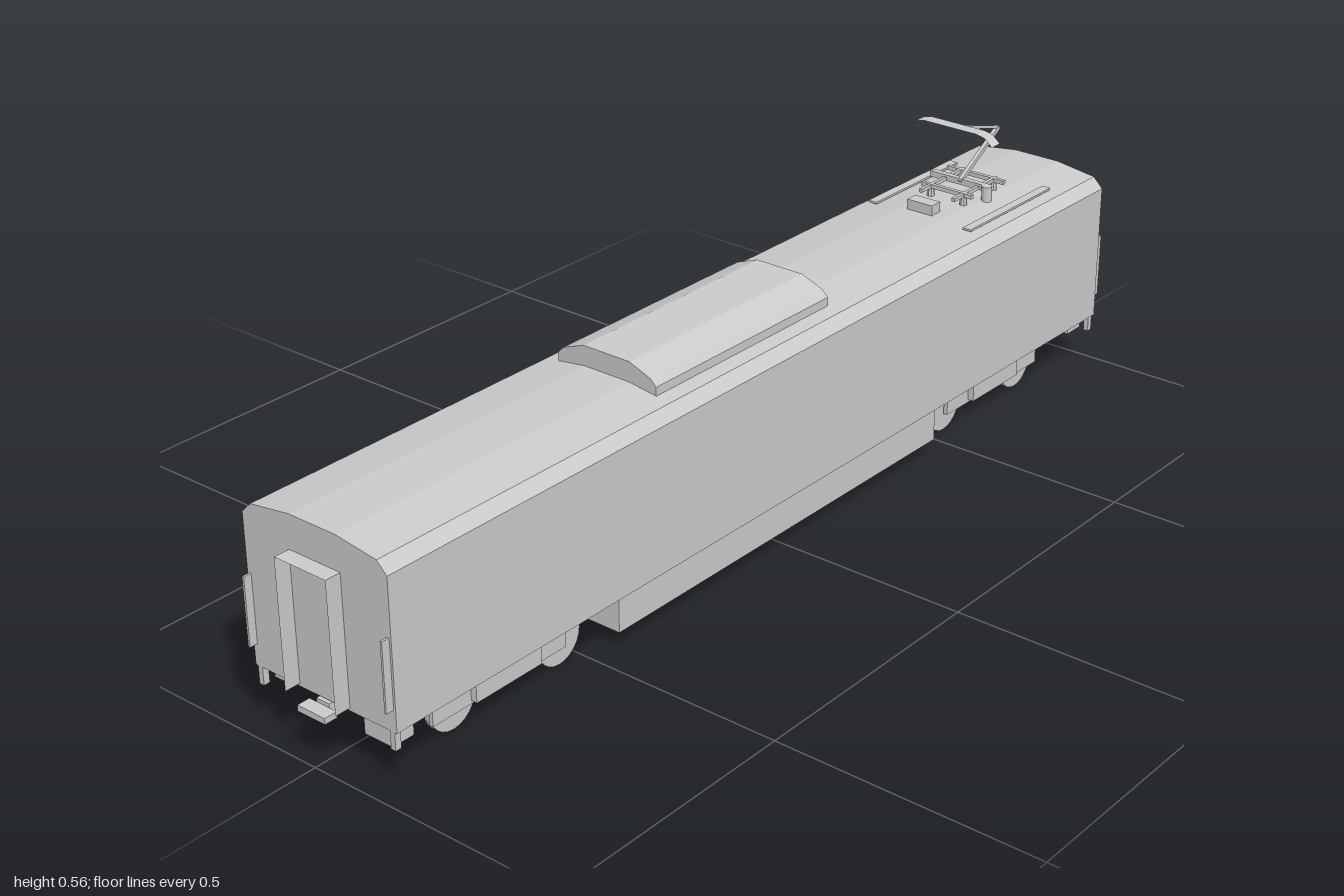
import * as THREE from 'three';

const mat = new THREE.MeshStandardMaterial({ color: 0xcccccc, flatShading: true });
const thin = new THREE.MeshStandardMaterial({ color: 0xcccccc, flatShading: true, side: THREE.DoubleSide });

function add(parent, name, geometry, material = mat) {
  const mesh = new THREE.Mesh(geometry, material);
  mesh.name = name;
  parent.add(mesh);
  return mesh;
}

// Box given by its limits on each axis
function box(parent, name, [x0, x1], [y0, y1], [z0, z1]) {
  const mesh = add(parent, name, new THREE.BoxGeometry(x1 - x0, y1 - y0, z1 - z0));
  mesh.position.set((x0 + x1) / 2, (y0 + y1) / 2, (z0 + z1) / 2);
  return mesh;
}

// Half profile mirrored in x, extruded between z0 and z1
function prism(parent, name, half, z0, z1) {
  const left = half.map(([x, y]) => [-x, y]).reverse();
  const shape = new THREE.Shape([...half, ...left].map(([x, y]) => new THREE.Vector2(x, y)));
  const geo = new THREE.ExtrudeGeometry(shape, { depth: z1 - z0, bevelEnabled: false });
  geo.translate(0, 0, z0);
  return add(parent, name, geo);
}

// Thin sheet swept along z from an open line of (x, y) points
function sheet(parent, name, line, z0, z1) {
  const pos = [], index = [];
  line.forEach(([x, y], i) => {
    pos.push(x, y, z0, x, y, z1);
    if (i) index.push(2 * i - 2, 2 * i - 1, 2 * i, 2 * i - 1, 2 * i + 1, 2 * i);
  });
  const geo = new THREE.BufferGeometry();
  geo.setAttribute('position', new THREE.Float32BufferAttribute(pos, 3));
  geo.setIndex(index);
  geo.computeVertexNormals();
  return add(parent, name, geo, thin);
}

// Square bar between two points
function bar(parent, name, a, b, size) {
  const p = new THREE.Vector3(...a), q = new THREE.Vector3(...b);
  const mesh = add(parent, name, new THREE.BoxGeometry(size, size, p.distanceTo(q)));
  mesh.position.copy(p).add(q).multiplyScalar(0.5);
  mesh.lookAt(q);
  return mesh;
}

// Bogie, gangway and underfloor gear of one end, facing +z
function carEnd(name) {
  const g = new THREE.Group();
  g.name = name;

  sheet(g, 'gangway', [[-0.055, 0.115], [-0.055, 0.35], [0.055, 0.35], [0.055, 0.115]], 0.965, 1.0);
  box(g, 'couplerShank', [-0.014, 0.014], [0.085, 0.108], [0.93, 0.975]);
  box(g, 'couplerHead', [-0.03, 0.03], [0.09, 0.101], [0.975, 1.0]);
  for (const s of [-1, 1]) {
    box(g, 'handrail', [s * 0.149 - 0.002, s * 0.149 + 0.002], [0.15, 0.275], [0.968, 0.985]);
    box(g, 'footStep', [s * 0.145 - 0.005, s * 0.145 + 0.005], [0.077, 0.112], [0.958, 0.97]);
  }

  // Equipment boxes under the floor
  box(g, 'centreBox', [-0.05, 0.05], [0.047, 0.112], [0.855, 0.9]);
  box(g, 'largeBox', [0.062, 0.122], [0.062, 0.112], [0.905, 0.95]);
  box(g, 'smallBox', [-0.136, -0.1], [0.085, 0.112], [0.905, 0.95]);

  // Bogie with four wheels
  const bogie = new THREE.Group();
  bogie.name = 'bogie';
  g.add(bogie);
  for (const s of [-1, 1]) {
    for (const z of [0.545, 0.79]) {
      const wheel = add(bogie, 'wheel', new THREE.CylinderGeometry(0.05, 0.05, 0.014, 24));
      wheel.rotation.z = Math.PI / 2;
      wheel.position.set(s * 0.083, 0.05, z);
    }
    box(bogie, 'sideFrame', [s * 0.097 - 0.004, s * 0.097 + 0.004], [0.036, 0.112], [0.54, 0.845]);
    box(bogie, 'springCover', [s * 0.106 - 0.007, s * 0.106 + 0.007], [0.042, 0.112], [0.61, 0.76]);
  }
  return g;
}

function pantograph() {
  const g = new THREE.Group();
  g.name = 'pantograph';
  for (const x of [-0.04, 0.035]) {
    bar(g, 'baseRail', [x, 0.432, -0.775], [x, 0.432, -0.63], 0.007);
    for (const z of [-0.765, -0.665]) {
      const insulator = add(g, 'insulator', new THREE.CylinderGeometry(0.006, 0.008, 0.025, 8));
      insulator.position.set(x, 0.42, z);
    }
  }
  bar(g, 'crossBeam', [-0.07, 0.432, -0.765], [0.06, 0.432, -0.765], 0.008);
  bar(g, 'crossBeam', [-0.075, 0.434, -0.717], [0.06, 0.434, -0.717], 0.012);
  bar(g, 'crossBeam', [-0.06, 0.432, -0.665], [0.055, 0.432, -0.665], 0.008);
  const drum = add(g, 'springDrum', new THREE.CylinderGeometry(0.01, 0.01, 0.03, 12));
  drum.position.set(0.056, 0.425, -0.712);

  // Folding arms meeting at the knee
  bar(g, 'lowerArm', [-0.005, 0.434, -0.71], [-0.005, 0.51, -0.835], 0.008);
  bar(g, 'upperArm', [-0.005, 0.51, -0.835], [-0.005, 0.552, -0.685], 0.006);
  sheet(g, 'contactHead', [[-0.1, 0.538], [-0.083, 0.552], [-0.065, 0.556],
    [0.055, 0.556], [0.073, 0.552], [0.09, 0.538]], -0.697, -0.67);
  box(g, 'roofBox', [-0.035, 0.022], [0.408, 0.432], [-0.607, -0.58]);
  return g;
}

export function createModel() {
  const model = new THREE.Group();

  prism(model, 'carBody', [[0.155, 0.11], [0.155, 0.38], [0.135, 0.4], [0.05, 0.412]], -0.97, 0.97);
  prism(model, 'roofUnit', [[0.107, 0.4], [0.107, 0.42], [0.095, 0.432], [0.05, 0.449]], -0.145, 0.315);

  // Underfloor skirt, open below
  const skirt = new THREE.Group();
  skirt.name = 'underfloorSkirt';
  model.add(skirt);
  for (const s of [-1, 1]) {
    box(skirt, 'skirtSide', [s * 0.136 - 0.001, s * 0.136 + 0.001], [0.033, 0.112], [-0.445, 0.45]);
    const z = s > 0 ? 0.449 : -0.444;
    box(skirt, 'skirtEnd', [-0.136, 0.136], [0.033, 0.112], [z - 0.001, z + 0.001]);
  }

  // The back end is the front end turned half round
  const backEnd = carEnd('backEnd');
  backEnd.rotation.y = Math.PI;
  model.add(carEnd('frontEnd'), backEnd);

  model.add(pantograph());
  for (const x of [-0.108, 0.108]) {
    box(model, 'roofWalkway', [x - 0.009, x + 0.009], [0.408, 0.412], [-0.84, -0.57]);
  }
  return model;
}
